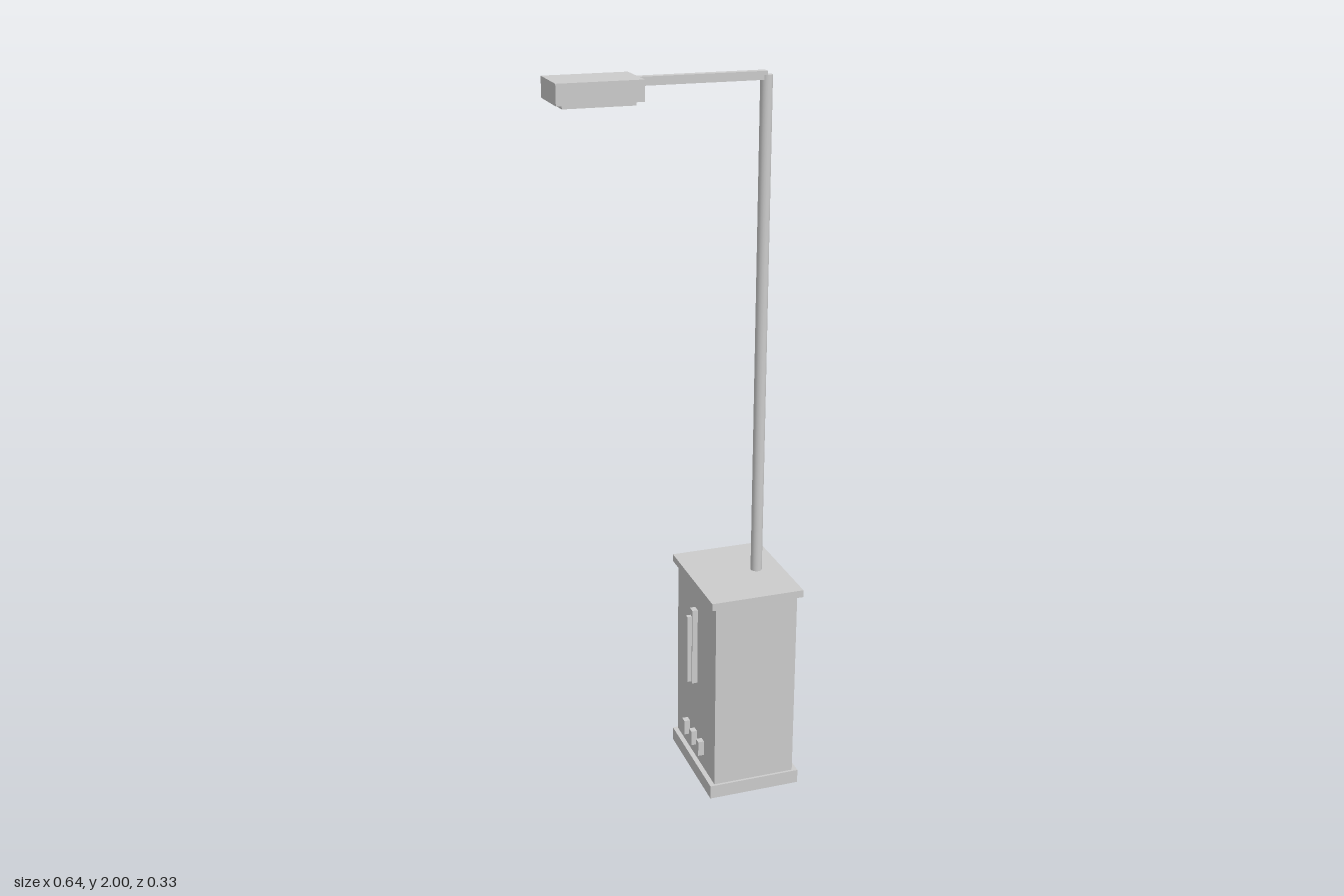
import * as THREE from 'three';

export function createModel() {
  const group = new THREE.Group();
  const grey = new THREE.MeshStandardMaterial({ color: 0xcccccc });
  grey.name = 'light grey';

  const add = (name, geometry, x, y, z) => {
    const mesh = new THREE.Mesh(geometry, grey);
    mesh.name = name;
    mesh.position.set(x, y, z);
    group.add(mesh);
  };

  // Box given by its x and y ranges and its z width
  const box = (name, x0, x1, y0, y1, width, z = 0) =>
    add(name, new THREE.BoxGeometry(x1 - x0, y1 - y0, width), (x0 + x1) / 2, (y0 + y1) / 2, z);

  // Cabinet
  box('base', 0.052, 0.318, 0, 0.04, 0.334);
  box('cabinet', 0.066, 0.303, 0.04, 0.595, 0.32);
  box('cabinetLid', 0.052, 0.318, 0.595, 0.616, 0.334);

  // Gauge and buttons on the cabinet's right side
  box('gaugePlate', 0.05, 0.066, 0.288, 0.52, 0.022);
  box('gaugeBar', 0.037, 0.05, 0.293, 0.5, 0.013);
  for (const z of [-0.062, 0, 0.06]) box('button', 0.049, 0.066, 0.083, 0.128, 0.02, z);

  // Pole and arm
  add('pole', new THREE.CylinderGeometry(0.016, 0.016, 1.375, 16), 0.244, 1.3005, 0);
  box('arm', -0.1, 0.243, 1.976, 1.998, 0.024);

  // Lamp head with its lens underneath
  box('lampHead', -0.32, -0.098, 1.947, 2, 0.142);
  box('lampLens', -0.302, -0.116, 1.937, 1.947, 0.114);

  return group;
}
